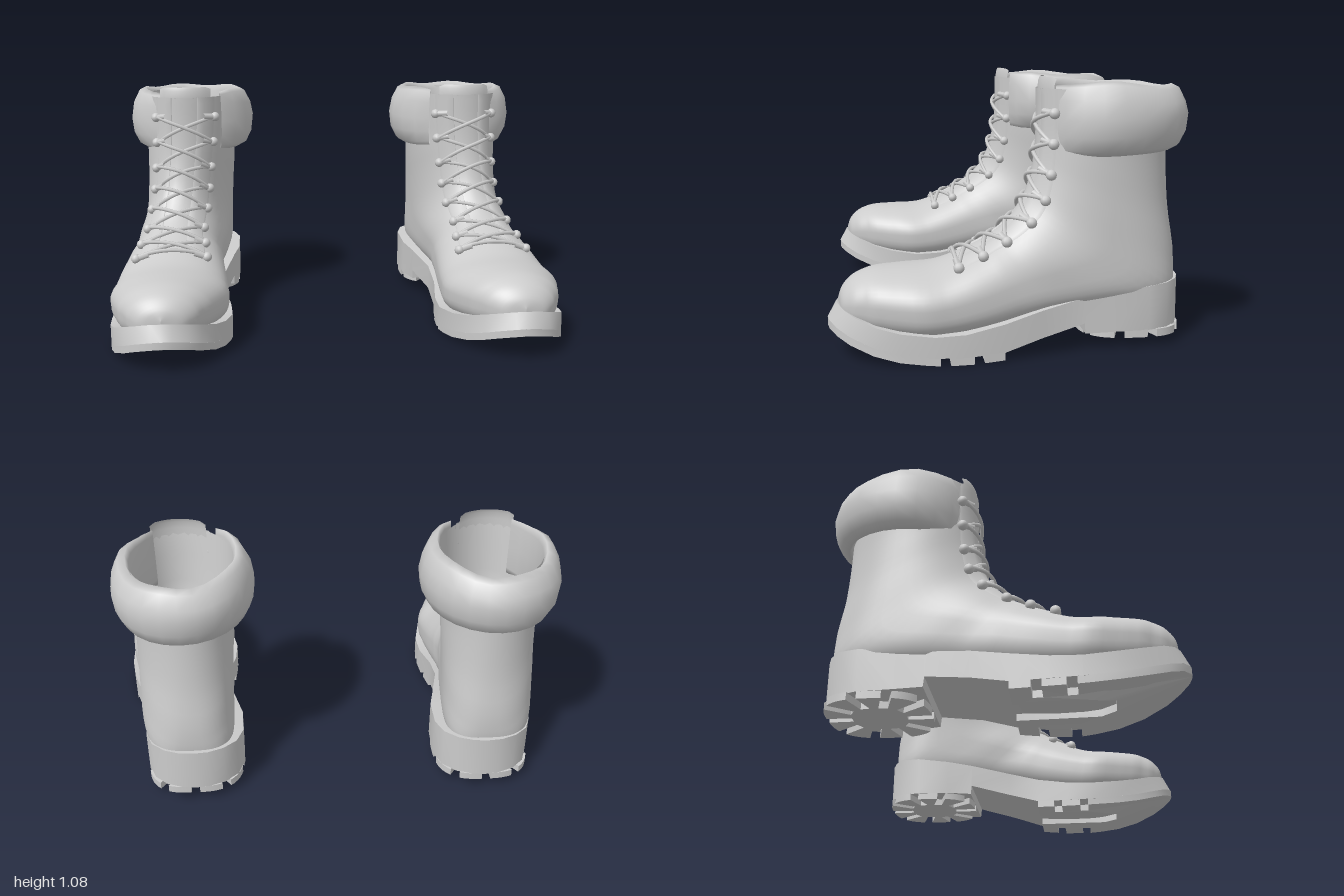
import * as THREE from 'three';
import { toCreasedNormals } from 'three/addons/utils/BufferGeometryUtils.js';

const V = (x, y, z) => new THREE.Vector3(x, y, z);
const { lerp, clamp } = THREE.MathUtils;
const grey = new THREE.MeshStandardMaterial({ color: 0xcccccc });
const greyThin = new THREE.MeshStandardMaterial({ color: 0xcccccc, side: THREE.DoubleSide });

// Surface from rows of points; closed joins the last column to the first.
function grid(rows, cols, point, closed = false) {
  const pos = [], index = [];
  for (let i = 0; i < rows; i++) for (let j = 0; j < cols; j++) pos.push(...point(i, j).toArray());
  for (let i = 0; i < rows - 1; i++) for (let j = 0; j < (closed ? cols : cols - 1); j++) {
    const k = (j + 1) % cols, a = i * cols + j, b = i * cols + k;
    index.push(a, b, a + cols, b, b + cols, a + cols);
  }
  const g = new THREE.BufferGeometry();
  g.setAttribute('position', new THREE.Float32BufferAttribute(pos, 3));
  g.setIndex(index);
  g.computeVertexNormals();
  return g;
}

// Upper sections, fanning from toe to shaft top:
// front/top point x y z, bottom/back point x y z, half width, squareness of the lower half.
const SECTIONS = [
  [0.76, 0.22, 0.688, 0.76, 0.16, 0.685, 0, 2],
  [0.76, 0.265, 0.672, 0.76, 0.14, 0.67, 0.085, 2.4],
  [0.758, 0.308, 0.63, 0.757, 0.12, 0.62, 0.143, 2.8],
  [0.755, 0.336, 0.56, 0.752, 0.1, 0.54, 0.192, 3],
  [0.748, 0.345, 0.45, 0.744, 0.08, 0.42, 0.234, 3],
  [0.74, 0.352, 0.31, 0.735, 0.08, 0.26, 0.252, 3.2],
  [0.736, 0.39, 0.2, 0.73, 0.1, 0.1, 0.238, 3.2],
  [0.73, 0.44, 0.1, 0.715, 0.14, -0.1, 0.214, 3.2],
  [0.72, 0.51, 0.01, 0.675, 0.17, -0.42, 0.206, 3.6],
  [0.705, 0.6, -0.055, 0.645, 0.19, -0.665, 0.204, 3.4],
  [0.695, 0.7, -0.09, 0.637, 0.33, -0.693, 0.204, 2.5],
  [0.685, 0.8, -0.108, 0.63, 0.56, -0.668, 0.208, 2.1],
  [0.678, 0.92, -0.115, 0.628, 0.8, -0.657, 0.215, 2],
  [0.675, 1.035, -0.115, 0.625, 1.03, -0.66, 0.22, 2],
];
const LAST = SECTIONS.length - 1;
const curve = (f) => new THREE.CatmullRomCurve3(SECTIONS.map(f));
const front = curve((s) => V(s[0], s[1], s[2]));
const back = curve((s) => V(s[3], s[4], s[5]));
const size = curve((s) => V(s[6], s[7], 0));

// Point on the upper: u along the sections, a around them from the front, off outwards.
function upper(u, a, off = 0, scale = 1) {
  const t = clamp(u / LAST, 0, 1), F = front.getPoint(t), B = back.getPoint(t), s = size.getPoint(t);
  const c = Math.cos(a), n = Math.sin(a), p = c < 0 ? 2 / s.y : 1;
  const P = F.clone().lerp(B, (1 - Math.sign(c) * Math.abs(c) ** p) / 2);
  P.x += s.x * Math.sign(n) * Math.abs(n) ** p;
  const mid = F.add(B).multiplyScalar(0.5);
  const dir = P.clone().sub(mid);
  return mid.addScaledVector(dir, scale).addScaledVector(dir.normalize(), off);
}

// Sole stations from toe to heel: z, centre x, half width, top y, underside y.
const SOLE = [
  [0.73, 0.76, 0, 0.21, 0.145], [0.722, 0.76, 0.045, 0.208, 0.14], [0.69, 0.76, 0.108, 0.195, 0.125],
  [0.64, 0.758, 0.16, 0.178, 0.102], [0.55, 0.754, 0.212, 0.15, 0.07], [0.45, 0.746, 0.245, 0.13, 0.048],
  [0.32, 0.735, 0.265, 0.115, 0.033], [0.2, 0.735, 0.26, 0.12, 0.03], [0.05, 0.735, 0.233, 0.148, 0.036],
  [-0.1, 0.715, 0.212, 0.185, 0.075], [-0.28, 0.665, 0.206, 0.217, 0.112], [-0.284, 0.665, 0.206, 0.218, 0.07],
  [-0.4, 0.645, 0.215, 0.232, 0.07], [-0.55, 0.637, 0.212, 0.25, 0.07], [-0.63, 0.635, 0.182, 0.256, 0.07],
  [-0.68, 0.635, 0.125, 0.259, 0.07], [-0.705, 0.635, 0.06, 0.26, 0.07], [-0.71, 0.635, 0, 0.26, 0.07],
];
function soleAt(z) {
  let i = 0;
  while (i < SOLE.length - 2 && SOLE[i + 1][0] > z) i++;
  const k = clamp((SOLE[i][0] - z) / (SOLE[i][0] - SOLE[i + 1][0]), 0, 1);
  return SOLE[i].map((v, n) => lerp(v, SOLE[i + 1][n], k));
}

// Tread layer cut from a plan outline of [x, z] points, following the underside.
function tread(outline) {
  const shape = new THREE.Shape(outline.map(([x, z]) => new THREE.Vector2(x, -z)));
  const g = new THREE.ExtrudeGeometry(shape, { depth: 0.032, bevelEnabled: false }).rotateX(-Math.PI / 2);
  const p = g.attributes.position;
  for (let i = 0; i < p.count; i++) p.setY(i, p.getY(i) + soleAt(p.getZ(i))[4] - 0.03);
  return toCreasedNormals(g, 0.6);
}

function forefootOutline() {
  // [z, inset from the edge]: two side notches, then the rear edge and a central recess
  const edge = [[0.728, 0], [0.722, 0], [0.69, 0], [0.64, 0], [0.55, 0], [0.45, 0], [0.36, 0], [0.3, 0], [0.3, 0.1],
    [0.26, 0.1], [0.26, 0], [0.17, 0], [0.17, 0.1], [0.13, 0.1], [0.13, 0], [0.05, 0]];
  const side = (s) => [
    ...edge.map(([z, d]) => { const r = soleAt(z); return [r[1] + s * (r[2] - d), z]; }),
    ...[[0.08, 0.05], [0.08, 0.38], [0.05, 0.44]].map(([x, z]) => [soleAt(z)[1] + s * x, z]),
  ];
  return [...side(1), ...side(-1).reverse()];
}

function heelOutline() {
  const pts = [], step = Math.PI / 5;
  const at = (a, k) => {
    const c = Math.cos(a), s = Math.sin(a), r = k * (Math.abs(c) ** 2.8 + Math.abs(s) ** 2.8) ** (-1 / 2.8);
    pts.push([0.64 + 0.211 * r * s, -0.496 + 0.212 * r * c]);
  };
  for (let i = 0; i < 10; i++) {
    const a = i * step;
    at(a - 0.09, 1); at(a - 0.16, 0.52); at(a + 0.16, 0.52); at(a + 0.09, 1);
    for (let j = 1; j < 5; j++) at(a + 0.09 + (step - 0.18) * j / 5, 1);
  }
  return pts;
}

function createBoot() {
  const boot = new THREE.Group();
  const add = (name, geometry, material = grey, parent = boot) => {
    const m = new THREE.Mesh(geometry, material);
    m.name = name;
    parent.add(m);
  };
  const TAU = Math.PI * 2;

  // Leather upper and the hollow lining inside the shaft
  add('upper', grid(LAST * 4 + 1, 48, (i, j) => upper(i / 4, j / 48 * TAU), true), greyThin);
  const lining = [[13, 1], [12, 0.95], [11, 0.9], [10, 0.8], [9.4, 0.5], [9.3, 0]];
  add('lining', grid(lining.length, 32, (i, j) => upper(lining[i][0], j / 32 * TAU, 0, lining[i][1]), true), greyThin);

  // Tongue standing above the shaft
  add('tongue', grid(4, 11, (i, j) => {
    const P = upper(LAST, (j / 10 - 0.5) * 1.16, -0.004);
    P.y += [-0.06, 0, 0.03, 0.047][i] - (Math.abs(j - 5) === 5 ? 0.01 : 0);
    P.z -= [0, 0, 0.003, 0.01][i];
    return P;
  }), greyThin);

  // Raised lace facings on both sides of the tongue
  const strip = [[0.27, -0.004], [0.29, 0.006], [0.42, 0.006], [0.62, 0.006], [0.7, -0.004]];
  for (const s of [1, -1]) {
    add('laceFacing', grid(31, 5, (i, j) => upper(5.9 + i * 7.1 / 30, s * strip[j][0], strip[j][1])), greyThin);
  }

  // Padded collar wrapped around the back of the shaft, a little lower behind
  const pad = [[-0.004, 1.03], [0.008, 1.06], [0.04, 1.045], [0.068, 0.99], [0.08, 0.915], [0.072, 0.845],
    [0.045, 0.79], [0.01, 0.77], [-0.01, 0.8], [-0.012, 0.92]];
  add('collar', grid(21, pad.length, (i, j) => {
    const a = lerp(0.66, TAU - 0.66, i / 20);
    const end = Math.sqrt(clamp(Math.min(i, 20 - i) / 3, 0.03, 1));
    const o = pad[j][0] * end;
    const tilt = pad[j][1] > 0.98 ? 0.014 * Math.cos(a) + 0.006 * Math.sin(a * 5) : -0.012 * Math.cos(a) + 0.006;
    const y = lerp(0.93, pad[j][1], 0.85 + 0.15 * end) + tilt;
    return V(0.645 + (0.218 + o) * Math.sin(a), y, -0.39 + (0.27 + o) * Math.cos(a));
  }, true), greyThin);

  // Sole slab with raised toe, arch and heel, and its treads
  add('sole', toCreasedNormals(grid(SOLE.length, 4, (i, j) => {
    const [z, cx, w, top, bottom] = SOLE[i];
    const x = cx + (j === 1 || j === 2 ? w : -w);
    return j < 2 ? V(x, top, z - 0.035 * clamp((z - 0.5) / 0.23, 0, 1)) : V(x, bottom, z);
  }, true), 0.7), greyThin);
  add('forefootTread', tread(forefootOutline()));
  add('heelTread', tread(heelOutline()));

  // Lace hooks, placed where the facing passes the given z, y
  const HOOK = 0.6;
  const rows = [[0.22, 0.355], [0.12, 0.385], [0.02, 0.43], [-0.085, 0.5], [-0.145, 0.595], [-0.19, 0.695],
    [-0.175, 0.82], [-0.17, 0.94]].map(([z, y]) => {
    let best = 0, min = 9;
    for (let u = 5; u <= LAST; u += 0.02) {
      const P = upper(u, HOOK), d = Math.hypot(P.z - z, P.y - y);
      if (d < min) { min = d; best = u; }
    }
    return best;
  });
  const hooks = new THREE.Group(), laces = new THREE.Group();
  hooks.name = 'hooks';
  laces.name = 'laces';
  boot.add(hooks, laces);
  const tube = (pts, r, n) => new THREE.TubeGeometry(new THREE.CatmullRomCurve3(pts), n, r, 6);
  for (const u of rows) for (const s of [1, -1]) {
    const P = upper(u, s * (HOOK + 0.06), 0.012);
    add('hookKnob', new THREE.SphereGeometry(0.022, 10, 8).translate(P.x, P.y, P.z), grey, hooks);
    add('hookStem', tube([P, upper(u, s * 0.4, 0.012)], 0.014, 1), grey, hooks);
  }

  // Laces crossing between neighbouring rows, plus a straight bottom bar
  const lace = (u0, u1, s) => {
    const pts = [];
    for (let k = 0; k <= 6; k++) {
      pts.push(upper(lerp(u0, u1, k / 6), s * lerp(-HOOK, HOOK, k / 6), 0.013 + s * 0.004));
    }
    add('lace', tube(pts, 0.009, 14), grey, laces);
  };
  lace(rows[0], rows[0], 1);
  for (let i = 0; i < rows.length - 1; i++) for (const s of [1, -1]) lace(rows[i], rows[i + 1], s);
  return boot;
}

export function createModel() {
  const model = new THREE.Group();
  model.name = 'boots';
  const left = createBoot(), right = createBoot();
  left.name = 'leftBoot';
  right.name = 'rightBoot';
  right.scale.x = -1;
  model.add(left, right);
  return model;
}
